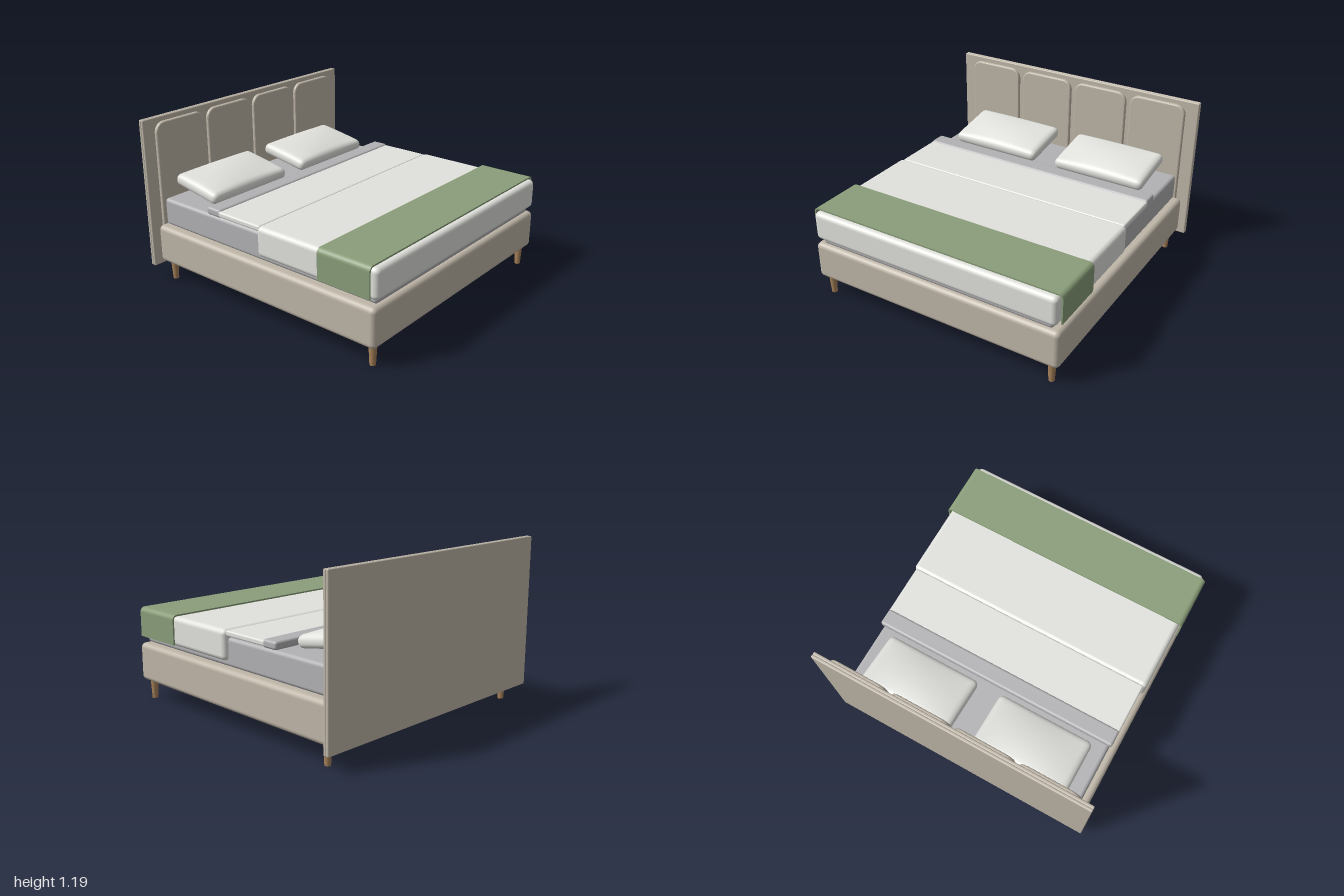
import * as THREE from 'three';
import { RoundedBoxGeometry } from 'three/addons/geometries/RoundedBoxGeometry.js';
import { mergeVertices } from 'three/addons/utils/BufferGeometryUtils.js';

const mat = (color, side = THREE.FrontSide) => new THREE.MeshStandardMaterial({ color, side });

// Soft-edged box given by its extents on each axis
function softBox(name, [x0, x1], [y0, y1], [z0, z1], radius, material) {
  const geo = new RoundedBoxGeometry(x1 - x0, y1 - y0, z1 - z0, 4, radius);
  const mesh = new THREE.Mesh(geo, material);
  mesh.position.set((x0 + x1) / 2, (y0 + y1) / 2, (z0 + z1) / 2);
  mesh.name = name;
  return mesh;
}

// Upright panel with round top corners and a soft front edge
function panelGeometry(w, h, r, depth, bevel) {
  const a = w / 2 - bevel, top = h - bevel;
  const s = new THREE.Shape();
  s.moveTo(-a, bevel);
  s.lineTo(a, bevel);
  s.lineTo(a, top - r);
  s.absarc(a - r, top - r, r, 0, Math.PI / 2);
  s.absarc(-a + r, top - r, r, Math.PI / 2, Math.PI);
  s.closePath();
  return new THREE.ExtrudeGeometry(s, {
    depth: depth - bevel, bevelSize: bevel, bevelThickness: bevel, bevelSegments: 4, curveSegments: 8,
  });
}

// Rounded cushion whose top swells towards the middle
function pillowGeometry(w, h, d, r, swell) {
  const geo = new THREE.BoxGeometry(w, h, d, 40, 8, 28);
  geo.deleteAttribute('uv');
  geo.deleteAttribute('normal');
  const merged = mergeVertices(geo);
  const p = merged.attributes.position;
  const half = new THREE.Vector3(w / 2, h / 2, d / 2);
  const inner = half.clone().subScalar(r);
  const v = new THREE.Vector3(), core = new THREE.Vector3();
  for (let i = 0; i < p.count; i++) {
    v.fromBufferAttribute(p, i);
    core.copy(v).clamp(inner.clone().negate(), inner);
    v.sub(core).setLength(r).add(core);
    const bx = 1 - (v.x / half.x) ** 2, bz = 1 - (v.z / half.z) ** 2;
    if (v.y > 0) v.y += swell * bx * bz * Math.min(1, v.y / (h / 2));
    p.setXYZ(i, v.x, v.y, v.z);
  }
  merged.computeVertexNormals();
  return merged;
}

// Thin cover hanging over both sides
function throwGeometry(halfW, bottom, top, t, r, depth) {
  const s = new THREE.Shape();
  const q = r - t;
  s.moveTo(halfW, bottom);
  s.lineTo(halfW, top - r);
  s.absarc(halfW - r, top - r, r, 0, Math.PI / 2);
  s.absarc(-halfW + r, top - r, r, Math.PI / 2, Math.PI);
  s.lineTo(-halfW, bottom);
  s.lineTo(-halfW + t, bottom);
  s.absarc(-halfW + r, top - r, q, Math.PI, Math.PI / 2, true);
  s.absarc(halfW - r, top - r, q, Math.PI / 2, 0, true);
  s.lineTo(halfW - t, bottom);
  s.closePath();
  return new THREE.ExtrudeGeometry(s, { depth, bevelEnabled: false, curveSegments: 10 });
}

export function createModel() {
  const bed = new THREE.Group();
  bed.name = 'bed';
  const fabric = mat(0xbfb6a8), linen = mat(0xe2e2de), sheet = mat(0xb2b2b5);
  const wood = mat(0xa8835a), green = mat(0x8a9e7a, THREE.DoubleSide);

  // Upholstered base and tapered legs
  bed.add(softBox('base', [-0.955, 0.955], [0.14, 0.415], [-0.94, 0.98], 0.035, fabric));
  const legGeo = new THREE.CylinderGeometry(0.028, 0.02, 0.15, 24);
  for (const x of [-0.885, 0.885]) for (const z of [0.92, -0.87]) {
    const leg = new THREE.Mesh(legGeo, wood);
    leg.position.set(x, 0.075, z);
    leg.name = 'leg';
    bed.add(leg);
  }

  // Headboard: two joined slabs with four padded panels
  const headboard = new THREE.Group();
  headboard.name = 'headboard';
  headboard.add(softBox('headboardBack', [-1, 1], [0.11, 1.185], [-0.99, -0.968], 0.008, fabric));
  headboard.add(softBox('headboardFront', [-1, 1], [0.11, 1.185], [-0.97, -0.948], 0.008, fabric));
  const panelGeo = panelGeometry(0.428, 0.77, 0.06, 0.026, 0.012);
  for (const x of [-0.692, -0.23, 0.23, 0.692]) {
    const panel = new THREE.Mesh(panelGeo, fabric);
    panel.position.set(x, 0.38, -0.95);
    panel.name = 'headboardPanel';
    headboard.add(panel);
  }
  bed.add(headboard);

  // Mattress and bedding
  bed.add(softBox('mattress', [-0.9, 0.9], [0.415, 0.61], [-0.91, 0.955], 0.025, sheet));
  bed.add(softBox('duvet', [-0.935, 0.935], [0.455, 0.665], [0.02, 0.985], 0.035, linen));
  bed.add(softBox('duvetFold', [-0.915, 0.915], [0.622, 0.66], [-0.35, 0.03], 0.012, linen));
  bed.add(softBox('sheetFold', [-0.915, 0.915], [0.615, 0.67], [-0.457, -0.333], 0.018, sheet));

  // Throw across the foot
  const cover = new THREE.Mesh(throwGeometry(0.958, 0.47, 0.68, 0.011, 0.035, 0.395), green);
  cover.position.z = 0.55;
  cover.name = 'throw';
  bed.add(cover);

  // Pillows leaning up towards the headboard
  const pillowGeo = pillowGeometry(0.71, 0.085, 0.412, 0.038, 0.032);
  for (const x of [-0.442, 0.438]) {
    const pillow = new THREE.Mesh(pillowGeo, linen);
    pillow.position.set(x, 0.69, -0.705);
    pillow.rotation.x = 0.17;
    pillow.name = 'pillow';
    bed.add(pillow);
  }
  return bed;
}
